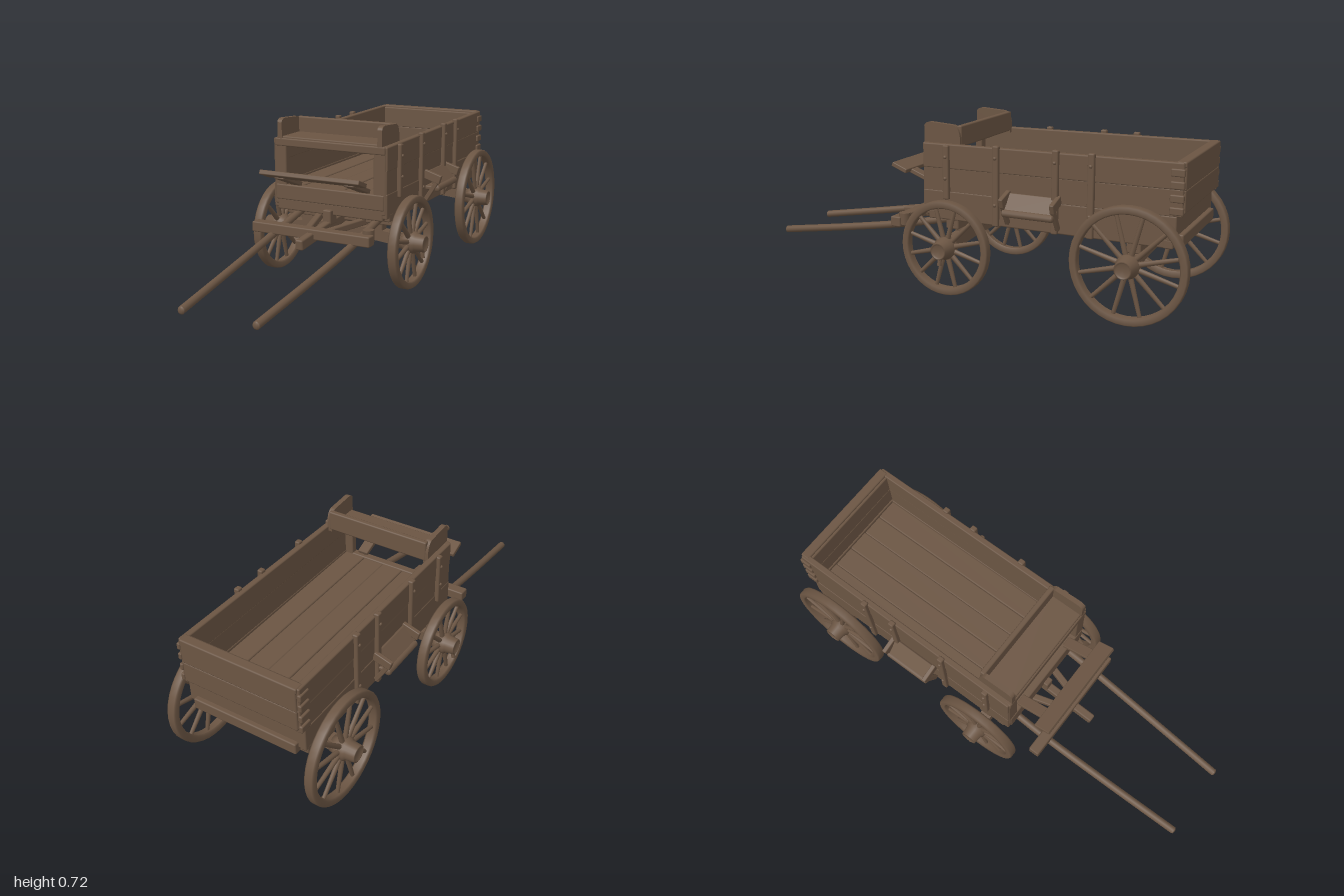
import * as THREE from 'three';
import { RoundedBoxGeometry } from 'three/addons/geometries/RoundedBoxGeometry.js';

const wood = new THREE.MeshStandardMaterial({ color: 0x6b5543 });
wood.name = 'weathered wood';

function add(parent, name, geometry) {
  const mesh = new THREE.Mesh(geometry, wood);
  mesh.name = name;
  parent.add(mesh);
  return mesh;
}

// Soft-edged plank given by its x, y and z extents
function plank(parent, name, [x0, x1], [y0, y1], [z0, z1]) {
  const size = [x1 - x0, y1 - y0, z1 - z0];
  const radius = Math.min(0.006, Math.min(...size) * 0.3);
  const mesh = add(parent, name, new RoundedBoxGeometry(...size, 1, radius));
  mesh.position.set((x0 + x1) / 2, (y0 + y1) / 2, (z0 + z1) / 2);
  return mesh;
}

// Plank of the given width and height running from a to b
function beam(parent, name, a, b, width, height) {
  const from = new THREE.Vector3(...a), to = new THREE.Vector3(...b);
  const mesh = add(parent, name,
    new RoundedBoxGeometry(width, height, from.distanceTo(to), 1, Math.min(width, height) * 0.2));
  mesh.position.copy(from).add(to).multiplyScalar(0.5);
  mesh.lookAt(to);
  return mesh;
}

function rod(parent, name, points, radius) {
  const curve = new THREE.CatmullRomCurve3(points.map(p => new THREE.Vector3(...p)));
  add(parent, name, new THREE.TubeGeometry(curve, 16, radius, 10));
  for (const t of [0, 1]) {
    const cap = add(parent, name + 'End', new THREE.SphereGeometry(radius, 10, 6));
    cap.position.copy(curve.getPoint(t));
    cap.scale.z = 0.5;
  }
}

// Wheel lies around the y axis, outer face up, then is turned onto the axle
function makeWheel(radius, side) {
  const wheel = new THREE.Group();
  const inner = radius - 0.032;
  const lathe = (pts, n) => new THREE.LatheGeometry(pts.map(p => new THREE.Vector2(...p)), n);
  add(wheel, 'rim', lathe([
    [inner, -0.014], [inner + 0.006, -0.021], [radius - 0.005, -0.021], [radius, -0.014],
    [radius, 0.014], [radius - 0.005, 0.021], [inner + 0.006, 0.021], [inner, 0.014], [inner, -0.014],
  ], 40));
  add(wheel, 'hub', lathe([
    [0, -0.048], [0.034, -0.048], [0.038, -0.03], [0.048, -0.018], [0.048, 0.018],
    [0.04, 0.026], [0.036, 0.066], [0.03, 0.068], [0.026, 0.06], [0, 0.06],
  ], 18));
  const spokeLength = inner - 0.03;
  for (let i = 0; i < 12; i++) {
    const spoke = add(wheel, 'spoke', new THREE.CylinderGeometry(0.0085, 0.0115, spokeLength, 8));
    const angle = (i + 0.5) * Math.PI / 6;
    const r = 0.035 + spokeLength / 2;
    spoke.position.set(Math.cos(angle) * r, 0, Math.sin(angle) * r);
    spoke.rotation.set(0, -angle, -Math.PI / 2);
  }
  wheel.rotation.z = -side * Math.PI / 2;
  return wheel;
}

// Slightly arched axle centred on the hub height
function axleGeometry(y) {
  const shape = new THREE.Shape();
  shape.moveTo(-0.3, y - 0.022).quadraticCurveTo(0, y + 0.022, 0.3, y - 0.022)
    .lineTo(0.3, y + 0.028).quadraticCurveTo(0, y + 0.07, -0.3, y + 0.028).closePath();
  return new THREE.ExtrudeGeometry(shape, { depth: 0.05, bevelEnabled: false, curveSegments: 10 });
}

export function createModel() {
  const wagon = new THREE.Group();
  wagon.name = 'wagon';
  const group = name => {
    const g = new THREE.Group();
    g.name = name;
    wagon.add(g);
    return g;
  };

  // Wheels, axles and bolsters
  const gear = group('runningGear');
  for (const [end, z, radius] of [['front', 0.03, 0.203], ['rear', -0.765, 0.237]]) {
    for (const side of [-1, 1]) {
      const wheel = makeWheel(radius, side);
      wheel.name = end + (side > 0 ? 'LeftWheel' : 'RightWheel');
      wheel.position.set(side * 0.327, radius, z);
      gear.add(wheel);
      plank(gear, end + 'BolsterBlock', side > 0 ? [0.13, 0.2] : [-0.2, -0.13], [radius, 0.33], [z - 0.025, z + 0.025]);
      if (end === 'front') {
        const pin = add(gear, 'axlePin', new THREE.CylinderGeometry(0.011, 0.009, 0.06, 8));
        pin.position.set(side * 0.378, 0.17, z);
        pin.rotation.z = side * 0.15;
      }
    }
    add(gear, end + 'Axle', axleGeometry(radius)).position.z = z - 0.025;
    plank(gear, end + 'Bolster', [-0.27, 0.27], [0.27, 0.315], [z - 0.03, z + 0.03]);
  }

  // Under-frame
  const frame = group('underFrame');
  for (const s of [-1, 1]) {
    beam(frame, 'longRail', [s * 0.15, 0.323, 0.14], [s * 0.15, 0.323, -0.92], 0.035, 0.035);
    beam(frame, 'edgeRail', [s * 0.257, 0.326, 0.14], [s * 0.257, 0.326, -0.92], 0.034, 0.034);
    beam(frame, 'frontHound', [s * 0.03, 0.265, 0.32], [s * 0.12, 0.275, 0.02], 0.03, 0.03);
  }
  for (const z of [0.12, -0.18, -0.58, -0.9]) {
    plank(frame, 'crossBeam', [-0.275, 0.275], [0.308, 0.345], [z - 0.02, z + 0.02]);
  }

  // Raised floor boards, level with the bottom of the front opening
  const box = group('wagonBox');
  for (let i = 0; i < 5; i++) {
    const x = -0.25 + i * 0.1;
    plank(box, 'floorBoard', [x, x + 0.1], [0.4, 0.424 - (i % 2) * 0.003], [-0.93, 0.15]);
  }

  // Side walls: three overlapping planks each, rising slightly to the rear
  const levels = [0.328, 0.43, 0.53, 0.628];
  for (const s of [-1, 1]) {
    for (let i = 0; i < 3; i++) {
      const h = levels[i + 1] - levels[i] + 0.006;
      const y = (levels[i] + levels[i + 1]) / 2;
      beam(box, 'sidePlank', [s * 0.26, y, 0.165], [s * 0.26, y + 0.004 * (i + 1), i === 0 ? -0.93 : -0.95],
        0.028 - (i % 2) * 0.004, h);
      // Battens on the rear corner of the upper planks
      for (const dy of i > 0 ? [-0.022, 0.026] : []) {
        plank(box, 'cornerCleat', s > 0 ? [0.265, 0.282] : [-0.282, -0.265], [y + dy - 0.015, y + dy + 0.015], [-0.955, -0.9]);
      }
    }
    for (const [z, y0, y1] of [[0.05, 0.4, 0.63], [-0.18, 0.31, 0.645], [-0.44, 0.31, 0.65], [-0.59, 0.31, 0.65]]) {
      plank(box, 'sideStake', s > 0 ? [0.265, 0.29] : [-0.29, -0.265], [y0, y1], [z - 0.014, z + 0.014]);
      for (const y of [y0 + 0.09, y1 - 0.05]) {
        const bolt = add(box, 'stakeBolt', new THREE.SphereGeometry(0.008, 8, 6));
        bolt.position.set(s * 0.289, y, z);
      }
    }
  }

  // Tailboard, its lowest plank set further in
  for (let i = 0; i < 3; i++) {
    const z = i === 0 ? -0.93 : -0.957;
    plank(box, 'tailPlank', [-0.262, 0.262], [levels[i] + (i === 1 ? 0.016 : 0.005), levels[i + 1] + 0.008], [z, -0.905]);
  }
  plank(box, 'tailRail', [-0.265, 0.265], [0.622, 0.645], [-0.957, -0.915]);
  plank(box, 'tailSill', [-0.24, 0.24], [0.31, 0.36], [-0.95, -0.91]);

  // Front frame with its open window
  plank(box, 'frontPanel', [-0.262, 0.262], [0.36, 0.428], [0.135, 0.172]);
  plank(box, 'frontSill', [-0.255, 0.255], [0.315, 0.365], [0.13, 0.168]);
  plank(box, 'frontTopRail', [-0.265, 0.265], [0.597, 0.632], [0.135, 0.172]);
  for (const s of [-1, 1]) {
    plank(box, 'frontPost', s > 0 ? [0.21, 0.268] : [-0.268, -0.21], [0.34, 0.625], [0.135, 0.168]);
  }

  // Seat
  const seat = group('seat');
  plank(seat, 'seatBoard', [-0.245, 0.245], [0.618, 0.64], [0, 0.165]);
  plank(seat, 'seatBack', [-0.24, 0.24], [0.62, 0.708], [-0.002, 0.022]);
  const arm = new THREE.Shape();
  arm.moveTo(0, 0.61).lineTo(0.17, 0.61).lineTo(0.17, 0.7).quadraticCurveTo(0.165, 0.717, 0.14, 0.717)
    .lineTo(0.03, 0.71).quadraticCurveTo(0.005, 0.7, 0, 0.66).closePath();
  for (const s of [-1, 1]) {
    const side = add(seat, 'seatArm', new THREE.ExtrudeGeometry(arm, { depth: 0.022, bevelEnabled: false }));
    side.rotation.y = -Math.PI / 2;
    side.position.x = s * 0.24 + 0.011;
  }

  // Tilted footboard on two brackets
  const foot = group('footboard');
  beam(foot, 'footPlank', [0, 0.488, 0.275], [0, 0.516, 0.347], 0.47, 0.02);
  for (const s of [-1, 1]) {
    beam(foot, 'footBracket', [s * 0.165, 0.435, 0.15], [s * 0.165, 0.492, 0.3], 0.05, 0.02);
  }

  // Side steps: end brackets, a sloping board, a base and a rail
  for (const s of [-1, 1]) {
    const step = group(s > 0 ? 'leftStep' : 'rightStep');
    for (const z of [-0.235, -0.455]) {
      beam(step, 'stepBracket', [s * 0.27, 0.45, z], [s * 0.35, 0.425, z], 0.02, 0.04);
      beam(step, 'stepBrace', [s * 0.28, 0.33, z], [s * 0.335, 0.42, z], 0.018, 0.02);
    }
    const board = plank(step, 'stepBoard', [-0.008, 0.008], [0.38, 0.465], [-0.45, -0.24]);
    board.position.x = s * 0.302;
    board.rotation.z = s * 0.7;
    plank(step, 'stepBase', s > 0 ? [0.27, 0.335] : [-0.335, -0.27], [0.375, 0.392], [-0.45, -0.24]);
    rod(step, 'stepRail', [[s * 0.33, 0.385, -0.24], [s * 0.33, 0.385, -0.45]], 0.016);
  }

  // Shafts, draw bar and short tongue
  const hitch = group('hitch');
  for (const s of [-1, 1]) {
    rod(hitch, 'shaft', [[s * 0.19, 0.3, 0.05], [s * 0.19, 0.245, 0.3], [s * 0.18, 0.19, 0.6], [s * 0.163, 0.125, 0.992]], 0.0165);
  }
  const knob = add(hitch, 'drawBarKnob', new THREE.CylinderGeometry(0.025, 0.025, 0.05, 10));
  knob.position.set(0.245, 0.283, 0.28);
  plank(hitch, 'drawBar', [-0.285, 0.275], [0.247, 0.292], [0.285, 0.335]);
  beam(hitch, 'tongue', [0, 0.285, 0.02], [0, 0.245, 0.425], 0.036, 0.045);
  plank(hitch, 'tongueBlock', [-0.02, 0.02], [0.275, 0.34], [0.13, 0.19]);
  return wagon;
}
